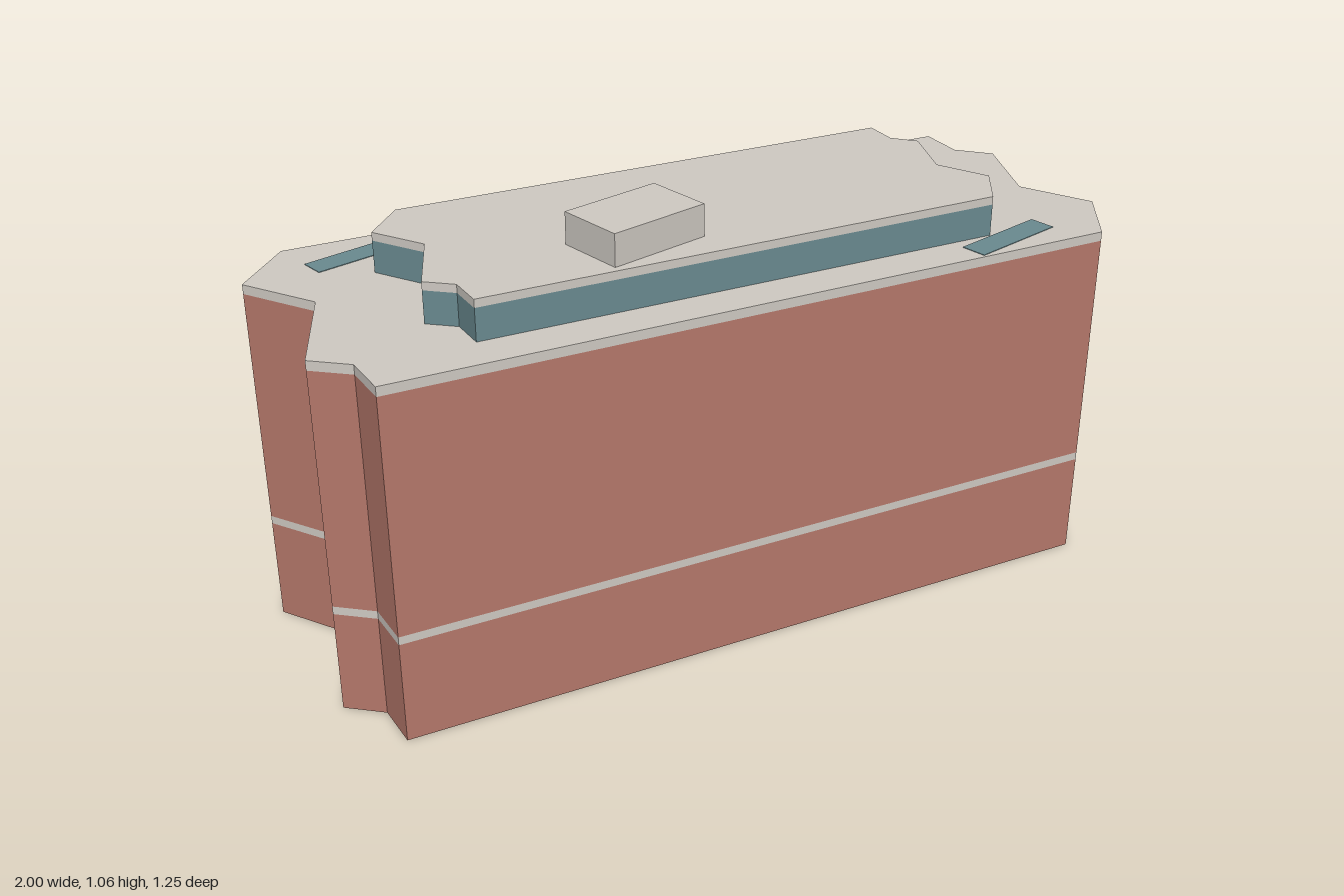
import * as THREE from 'three';

const mat = (name, color) => Object.assign(new THREE.MeshStandardMaterial({ color }), { name });

export function createModel() {
  const brick = mat('brick', 0xb5786b);
  const stone = mat('paleStone', 0xcfcac3);
  const glass = mat('tealGlass', 0x6a8a90);

  const model = new THREE.Group();
  model.name = 'officeBuilding';

  // Vertical prism over an (x, z) outline
  const prism = (name, outline, y0, y1, material) => {
    const shape = new THREE.Shape(outline.map(([x, z]) => new THREE.Vector2(x, -z)));
    const geo = new THREE.ExtrudeGeometry(shape, { depth: y1 - y0, bevelEnabled: false });
    geo.rotateX(-Math.PI / 2).translate(0, y0, 0);
    const mesh = new THREE.Mesh(geo, material);
    mesh.name = name;
    model.add(mesh);
  };
  // Box given by its limits on each axis
  const box = (name, parent, [x0, x1], [y0, y1], [z0, z1], material) => {
    const mesh = new THREE.Mesh(new THREE.BoxGeometry(x1 - x0, y1 - y0, z1 - z0), material);
    mesh.position.set((x0 + x1) / 2, (y0 + y1) / 2, (z0 + z1) / 2);
    mesh.name = name;
    parent.add(mesh);
  };

  // Main block, in stacked layers
  const footprint = [
    [-0.957, 0.14], [0.77, 0.62], [0.914, 0.485], [0.861, 0.3], [1, 0.1], [0.947, 0.013],
    [0.977, -0.105], [-0.745, -0.585], [-0.907, -0.476], [-0.834, -0.287], [-1, -0.054], [-0.936, 0.028],
  ];
  prism('lowerWalls', footprint, 0, 0.256, brick);
  prism('stoneBand', footprint, 0.256, 0.276, stone);
  prism('upperWalls', footprint, 0.276, 0.857, brick);
  prism('roofCap', footprint, 0.857, 0.88, stone);

  // Set-back top floor
  const topFloor = [
    [-0.69, 0.11], [0.555, 0.455], [0.655, 0.36], [0.62, 0.225], [0.715, 0.08], [0.68, 0.018],
    [0.702, -0.068], [-0.535, -0.413], [-0.65, -0.335], [-0.6, -0.2], [-0.72, -0.036], [-0.673, 0.025],
  ];
  prism('topFloorGlass', topFloor, 0.88, 0.958, glass);
  prism('topFloorRoof', topFloor, 0.958, 0.978, stone);
  box('plantRoom', model, [-0.37, -0.112], [0.978, 1.056], [0.01, 0.18], stone);

  // Roof lights
  box('roofLightBack', model, [-0.745, -0.49], [0.878, 0.8815], [-0.48, -0.418], glass);
  box('roofLightFront', model, [0.45, 0.706], [0.878, 0.8815], [0.46, 0.524], glass);

  // Back facade details, aligned with the slanted wall (wall plane at local z = -0.365)
  const back = new THREE.Group();
  back.name = 'backFacade';
  back.rotation.y = -0.2705;
  model.add(back);
  const mid = 0.02;
  const span = (half) => [mid - half, mid + half];

  // Curtain wall with end fins and horizontal sun slats
  box('curtainWall', back, span(0.602), [0.278, 0.833], [-0.38, -0.36], glass);
  for (const side of [-1, 1]) {
    const x = mid + side * 0.597;
    box('endFin', back, [x - 0.006, x + 0.006], [0.278, 0.833], [-0.419, -0.383], stone);
  }
  for (let i = 0; i < 13; i++) {
    const y = 0.3065 + i * 0.0426;
    box('sunSlat', back, span(0.591), [y - 0.004, y + 0.004], [-0.419, -0.389], stone);
  }

  // Entrance with canopy, mullions and step
  box('entranceGlass', back, span(0.342), [0, 0.24], [-0.466, -0.36], glass);
  for (let i = -2; i <= 2; i++) {
    const x = mid + i * 0.144;
    box('mullion', back, [x - 0.005, x + 0.005], [0.004, 0.24], [-0.471, -0.465], stone);
  }
  box('entranceCanopy', back, span(0.392), [0.249, 0.265], [-0.549, -0.39], stone);
  box('entranceStep', back, span(0.26), [0.004, 0.014], [-0.505, -0.465], stone);

  return model;
}
